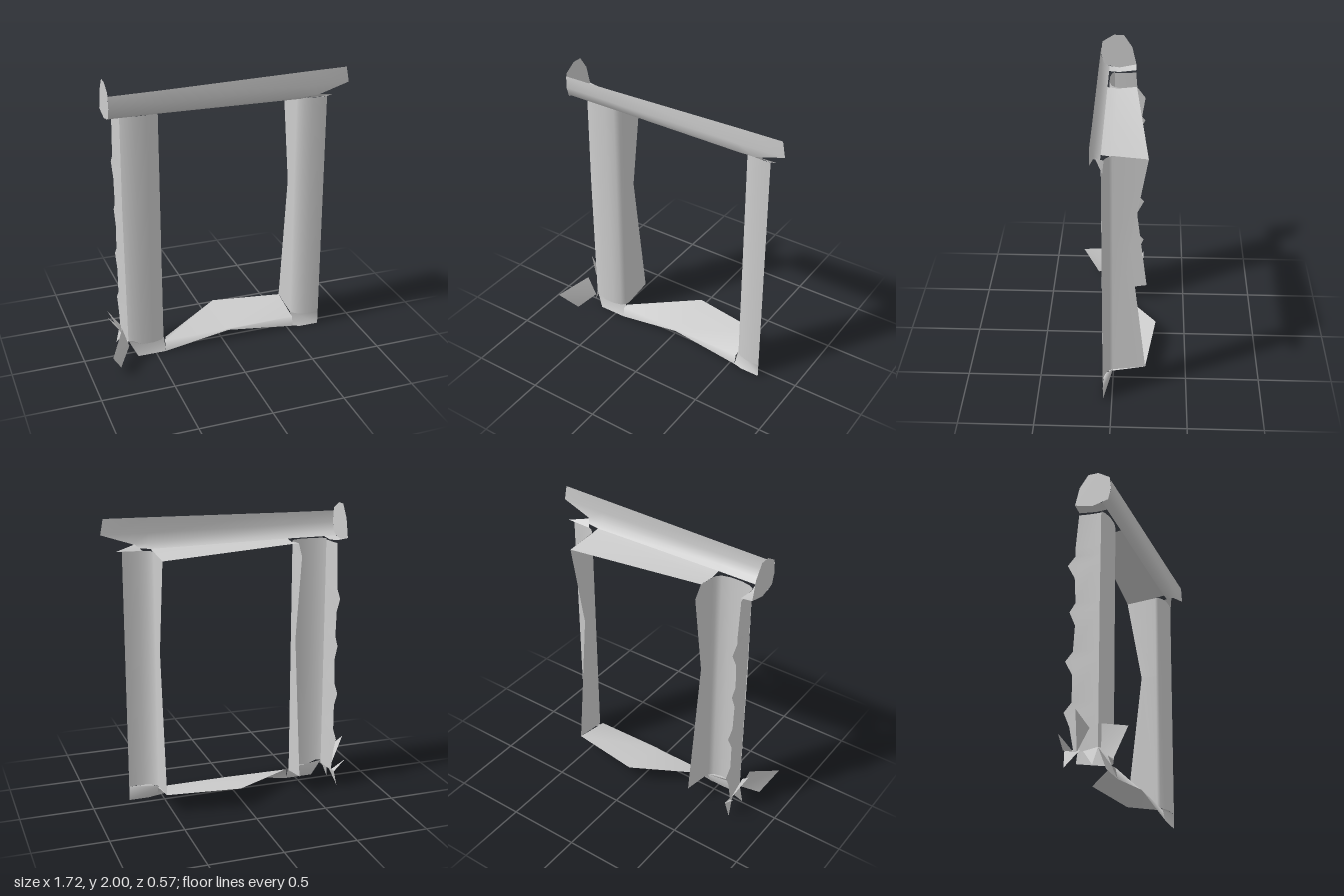
import * as THREE from 'three';

const grey = new THREE.MeshStandardMaterial({ color: 0xcccccc, side: THREE.DoubleSide });
grey.name = 'plain grey';

// Skin a sheet over rows of [x, y, z] points, all rows of equal length.
function sheet(name, rows) {
  const n = rows[0].length, index = [];
  for (let r = 0; r < rows.length - 1; r++) {
    for (let c = 0; c < n - 1; c++) {
      const a = r * n + c, b = a + n;
      index.push(a, a + 1, b + 1, a, b + 1, b);
    }
  }
  const g = new THREE.BufferGeometry();
  g.setAttribute('position', new THREE.Float32BufferAttribute(rows.flat(2), 3));
  g.setIndex(index);
  g.computeVertexNormals();
  const mesh = new THREE.Mesh(g, grey);
  mesh.name = name;
  return mesh;
}

// Flat convex plate, fanned from its first corner.
function plate(name, pts) {
  const index = [];
  for (let i = 1; i < pts.length - 1; i++) index.push(0, i, i + 1);
  const g = new THREE.BufferGeometry();
  g.setAttribute('position', new THREE.Float32BufferAttribute(pts.flat(), 3));
  g.setIndex(index);
  g.computeVertexNormals();
  const mesh = new THREE.Mesh(g, grey);
  mesh.name = name;
  return mesh;
}

export function createModel() {
  const group = new THREE.Group();
  group.name = 'doorFrame';

  // Right post: rounded front and an inner reveal whose back edge pinches in midway.
  // Each level: reveal back y and z, inner corner y, outer front y and x.
  const rightPost = [
    [1.69, -0.19, 1.76, 1.76, -0.69],
    [1.1, -0.1, 1.1, 1.1, -0.695],
    [0.13, -0.22, 0.09, 0.12, -0.69],
  ].map(([yb, zb, yc, yo, xo]) => [
    [-0.42, yb, zb], [-0.425, yc, -0.01], [-0.435, yc, 0.02], [-0.46, yc, 0.045],
    [-0.52, yc, 0.06], [-0.6, yc, 0.06], [-0.66, yo, 0.048], [xo, yo, 0.03],
  ]);
  group.add(sheet('rightPost', rightPost));
  group.add(plate('rightPostRevealTop', [[-0.42, 1.69, -0.19], [-0.425, 1.76, -0.01], [-0.42, 1.77, -0.13]]));
  group.add(plate('rightPostFoot', [
    [-0.43, 0.09, 0.02], [-0.46, 0.09, 0.045], [-0.52, 0.09, 0.06], [-0.6, 0.09, 0.06],
    [-0.69, 0.12, 0.03], [-0.63, 0, 0.06], [-0.43, 0, 0.06],
  ]));

  // Outer return of the right post with a torn, toothed back edge.
  const teeth = [[1.75, -0.12], [1.5, -0.14], [1.44, -0.14], [1.38, -0.19], [1.28, -0.14], [1.1, -0.13],
    [1.04, -0.17], [0.94, -0.13], [0.76, -0.14], [0.7, -0.19], [0.6, -0.14], [0.42, -0.14],
    [0.36, -0.19], [0.26, -0.15], [0.1, -0.12]];
  group.add(sheet('rightPostOuterSide', teeth.map(([y, z]) => [
    [-0.69, y, 0.03], [-0.695, y, -0.05], [-0.705, y, z],
  ])));

  // Left post: rounded front and inner reveal.
  const leftPost = [[1.73, -0.22, 1.75], [1.1, -0.11, 1.1], [0.13, -0.22, 0.1]].map(([yb, zb, yc]) => [
    [0.54, yb, zb], [0.54, yc, 0], [0.55, yc, 0.02], [0.58, yc, 0.045],
    [0.63, yc, 0.06], [0.69, yc, 0.063], [0.735, yc, 0.06],
  ]);
  group.add(sheet('leftPost', leftPost));
  group.add(plate('leftPostFoot', [
    [0.54, 0.1, 0], [0.54, 0.01, 0.055], [0.6, 0, 0.06], [0.735, 0, 0.06],
    [0.735, 0.1, 0.06], [0.63, 0.1, 0.06], [0.58, 0.1, 0.045],
  ]));
  group.add(plate('leftPostTip', [[0.6, 1.75, 0.05], [0.735, 1.75, 0.06], [0.775, 1.755, 0.05], [0.64, 1.785, 0.1]]));

  // Sill: front edge lifted in the middle, ledge rising to the back.
  group.add(sheet('sill', [
    [[-0.43, 0, 0.06], [0.04, 0.075, 0.055], [0.54, 0.01, 0.055]],
    [[-0.43, 0.075, 0.045], [0.04, 0.08, 0.045], [0.54, 0.08, 0.04]],
    [[-0.42, 0.09, 0.02], [0.04, 0.135, -0.29], [0.54, 0.13, -0.22]],
  ]));

  // Lintel: curved front sweeping under into the soffit.
  group.add(sheet('lintel', [
    [[-0.78, 1.93, 0.125], [-0.42, 1.935, 0.125], [0.54, 1.955, 0.12], [0.84, 1.96, 0.12]],
    [[-0.78, 1.85, 0.13], [-0.42, 1.85, 0.13], [0.54, 1.85, 0.125], [0.86, 1.855, 0.12]],
    [[-0.78, 1.79, 0.11], [-0.42, 1.79, 0.11], [0.54, 1.785, 0.11], [0.65, 1.785, 0.11]],
    [[-0.78, 1.765, 0.07], [-0.42, 1.765, 0.07], [0.54, 1.755, 0.07], [0.62, 1.765, 0.07]],
  ]));
  group.add(sheet('soffit', [
    [[-0.42, 1.765, 0.07], [0.06, 1.76, 0.07], [0.54, 1.755, 0.07]],
    [[-0.42, 1.755, 0], [0.06, 1.75, 0], [0.54, 1.745, 0]],
    [[-0.42, 1.77, -0.13], [0.06, 1.75, -0.175], [0.54, 1.73, -0.22]],
  ]));
  group.add(sheet('lintelReturn', [
    [[-0.78, 1.765, 0.07], [-0.69, 1.765, 0.07]],
    [[-0.78, 1.755, 0], [-0.7, 1.755, 0]],
    [[-0.78, 1.78, -0.12], [-0.7, 1.77, -0.12]],
  ]));

  // Upright end cap of the lintel.
  const cap = [[2, 0.04], [2, -0.03], [1.91, -0.09], [1.78, -0.12], [1.75, 0], [1.78, 0.11], [1.86, 0.13], [1.95, 0.12]];
  group.add(plate('lintelEndCap', cap.map(([y, z]) => [-0.78, y, z])));

  // Loose splinters at the foot of the right post.
  group.add(plate('frontSplinter', [[-0.86, 0.16, 0.28], [-0.74, 0.245, 0.07], [-0.69, 0.09, 0.05], [-0.78, 0, 0.16]]));
  group.add(plate('tallSplinter', [[-0.81, 0.33, -0.07], [-0.73, 0.23, -0.01], [-0.7, 0.1, -0.1]]));
  group.add(plate('backSplinter', [[-0.78, 0.2, -0.19], [-0.7, 0.12, -0.19], [-0.7, 0.1, -0.12]]));
  group.add(plate('lowSplinter', [[-0.73, 0, -0.17], [-0.7, 0.12, -0.18], [-0.7, 0.11, -0.08]]));
  group.add(plate('cornerSplinter', [[-0.73, 0, 0.01], [-0.69, 0.12, 0.03], [-0.7, 0.1, -0.06]]));
  return group;
}
